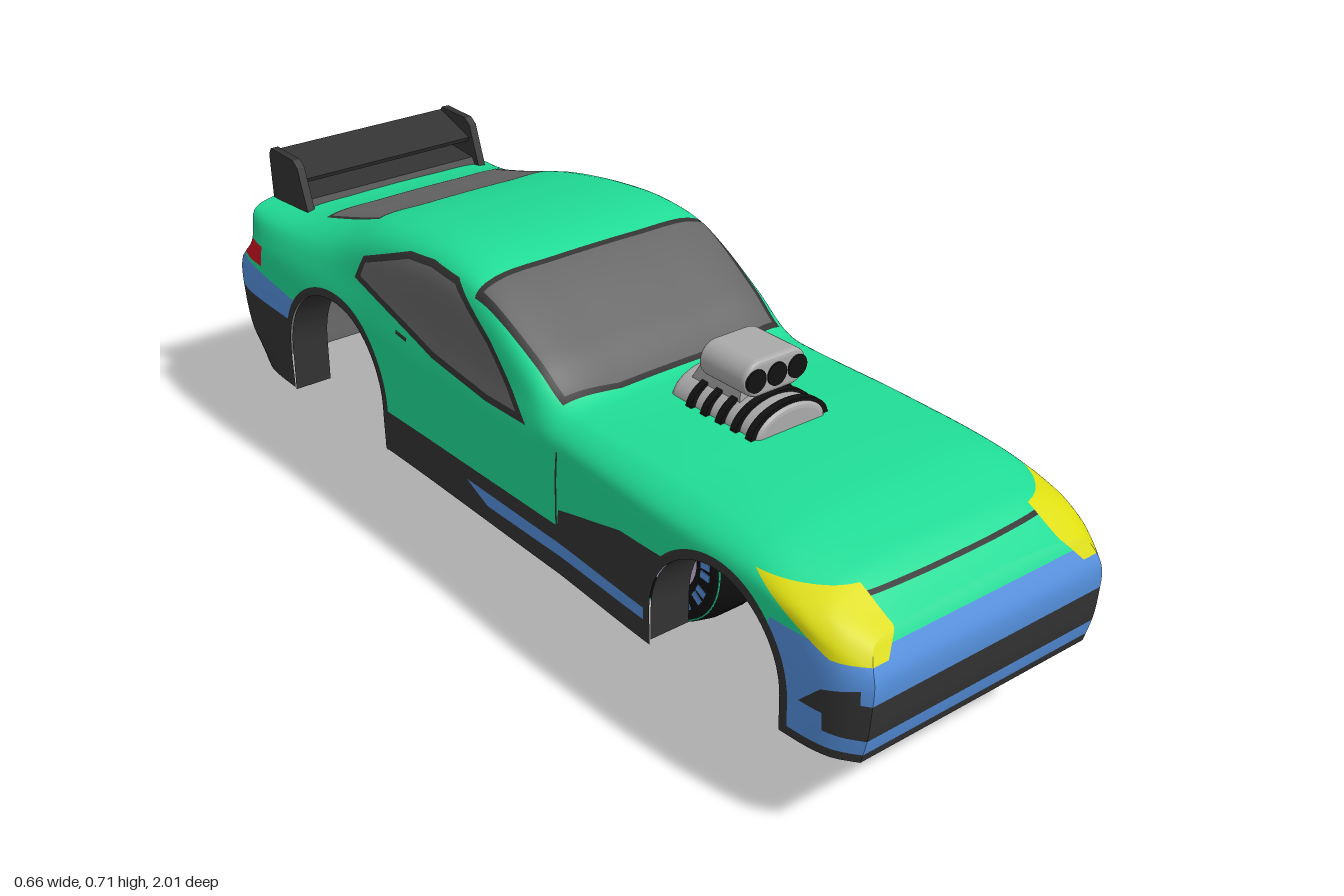
import * as THREE from 'three';

const mat = (color) => new THREE.MeshStandardMaterial({ color, side: THREE.DoubleSide });
const M = {
  green: mat(0x20dc96), blue: mat(0x5590dd), yellow: mat(0xdddd11), red: mat(0xcc1122),
  dark: mat(0x333333), black: mat(0x111111), glass: mat(0x666666), grey: mat(0xaaaaaa), rim: mat(0xccbbdd),
};

// Body stations: z, roof y, half width, belt y, waist x, waist y, roof edge x, roof edge drop, crown x
const STATIONS = [
  [-.95, .585, .305, .46, .303, .51, .29, .025, .24], [-.9, .587, .318, .47, .312, .51, .293, .028, .24],
  [-.77, .60, .325, .47, .315, .52, .29, .035, .23], [-.61, .64, .325, .46, .312, .53, .285, .05, .22],
  [-.45, .68, .318, .45, .305, .54, .285, .045, .235], [-.26, .705, .316, .44, .303, .53, .285, .04, .24],
  [-.14, .703, .316, .44, .303, .53, .285, .036, .24], [-.05, .678, .316, .44, .303, .52, .285, .03, .24],
  [.1, .59, .316, .44, .305, .505, .288, .03, .25], [.17, .542, .316, .43, .308, .48, .28, .025, .23],
  [.22, .523, .316, .43, .308, .475, .275, .018, .22], [.5, .52, .327, .43, .318, .47, .28, .02, .22],
  [.73, .51, .326, .42, .318, .46, .29, .025, .23], [.86, .48, .322, .4, .317, .435, .29, .025, .22],
  [.91, .457, .31, .38, .305, .41, .285, .02, .22], [.95, .43, .28, .36, .275, .385, .258, .018, .2],
];
const SILL = [[-.95, .2], [-.39, .2], [.49, .185], [.83, .195], [.95, .195]];
const NOSE = [[.19, .03], [.25, .045], [.3, .05], [.36, .05], [.41, .025], [.45, 0], [.6, 0]];
const TAIL = [[.19, .04], [.22, .02], [.27, -.025], [.36, -.05], [.43, -.05], [.5, .008], [.6, -.01]];
const ARCHES = [{ name: 'front', z: .665, y: .262, r: .168 }, { name: 'rear', z: -.577, y: .297, r: .183 }];

// Smooth interpolation of column c of a keyed table
function sample(table, t, c = 1) {
  let i = 0;
  while (i < table.length - 2 && t > table[i + 1][0]) i++;
  const slope = (k) => {
    const a = table[Math.max(k - 1, 0)], b = table[Math.min(k + 1, table.length - 1)];
    return (b[c] - a[c]) / (b[0] - a[0]);
  };
  const p = table[i], q = table[i + 1], h = q[0] - p[0];
  const s = THREE.MathUtils.clamp((t - p[0]) / h, 0, 1), s2 = s * s, s3 = s2 * s;
  return (2 * s3 - 3 * s2 + 1) * p[c] + (s3 - 2 * s2 + s) * h * slope(i)
    + (3 * s2 - 2 * s3) * q[c] + (s3 - s2) * h * slope(i + 1);
}

// Half cross-section from the sill up to the centre line, with bulged nose and tail
function halfSection(z) {
  const [T, W, E, G, Gy, R, d, Q] = [1, 2, 3, 4, 5, 6, 7, 8].map((c) => sample(STATIONS, z, c));
  const pts = [[W, sample(SILL, z)], [W + .002, .3], [W, E], [G, Gy], [R, T - d], [Q, T - .007], [.1, T - .001], [0, T]];
  const nose = THREE.MathUtils.smoothstep(z, .8, .95), tail = THREE.MathUtils.smoothstep(-z, .78, .95);
  return new THREE.CatmullRomCurve3(pts.map(([x, y]) => new THREE.Vector3(x, y, 0))).getPoints(42).map((p) =>
    [p.x, p.y, z + nose * sample(NOSE, p.y) + tail * sample(TAIL, p.y)]);
}

// Grid of points -> quads whose corners carry smooth normals
function gridPolys(rows) {
  const n = rows[0].length, idx = [], quads = [];
  for (let i = 0; i < rows.length - 1; i++) for (let j = 0; j < n - 1; j++) {
    const a = i * n + j, b = a + n;
    idx.push(a, a + 1, b + 1, a, b + 1, b);
    quads.push([a, a + 1, b + 1], [a, b + 1, b]);
  }
  const g = new THREE.BufferGeometry();
  g.setAttribute('position', new THREE.Float32BufferAttribute(rows.flat(2), 3));
  g.setIndex(idx);
  g.computeVertexNormals();
  const N = g.attributes.normal, flat = rows.flat();
  return quads.map((q) => q.map((k) => [...flat[k], N.getX(k), N.getY(k), N.getZ(k)]));
}

// Part of a convex polygon where sign * f <= 0
function clip(poly, f, sign) {
  const out = [];
  poly.forEach((p, i) => {
    const q = poly[(i + 1) % poly.length], a = sign * f(...p), b = sign * f(...q);
    if (a <= 0) out.push(p);
    if ((a < 0 && b > 0) || (a > 0 && b < 0)) out.push(p.map((v, k) => v + (q[k] - v) * a / (a - b)));
  });
  return out.length > 2 ? out : null;
}

// Cut the region where all tests are <= 0 out of the polygons
function carve(polys, tests) {
  let inside = polys;
  const rest = [];
  for (const f of tests) {
    const next = [];
    for (const p of inside) {
      const values = p.map((v) => f(...v));
      if (values.every((v) => v <= 0)) { next.push(p); continue; }
      if (values.every((v) => v >= 0)) { rest.push(p); continue; }
      const a = clip(p, f, 1), b = clip(p, f, -1);
      if (a) next.push(a);
      if (b) rest.push(b);
    }
    inside = next;
  }
  return [inside, rest];
}

// Tests for a convex outline in side (z,y), front (|x|,y) or plan (|x|,z) projection
const PROJ = { side: (x, y, z) => [z, y], front: (x, y) => [Math.abs(x), y], plan: (x, y, z) => [Math.abs(x), z] };
function outline(proj, pts, inset = 0) {
  const area = pts.reduce((s, p, i) => { const q = pts[(i + 1) % pts.length]; return s + p[0] * q[1] - q[0] * p[1]; }, 0);
  return pts.map((p, i) => {
    const q = pts[(i + 1) % pts.length], du = q[0] - p[0], dv = q[1] - p[1], k = Math.sign(area) / Math.hypot(du, dv);
    return (x, y, z) => { const [u, v] = PROJ[proj](x, y, z); return k * ((u - p[0]) * dv - (v - p[1]) * du) + inset; };
  });
}
const above = (h) => (x, y) => h - y, below = (h) => (x, y) => y - h;
const ahead = (d) => (x, y, z) => d - z, behind = (d) => (x, y, z) => z - d;
const outer = (w) => (x) => w - Math.abs(x), inner = (w) => (x) => Math.abs(x) - w;
const archTests = (a, grow) => [
  [(x, y, z) => Math.hypot(z - a.z, y - a.y) - a.r - grow],
  [(x, y, z) => Math.abs(z - a.z) - a.r - grow, below(a.y)],
];

function polyMesh(name, polys, material) {
  const pos = [], nor = [];
  for (const p of polys) for (let i = 1; i < p.length - 1; i++) for (const v of [p[0], p[i], p[i + 1]]) {
    pos.push(v[0], v[1], v[2]); nor.push(v[3], v[4], v[5]);
  }
  const g = new THREE.BufferGeometry();
  g.setAttribute('position', new THREE.Float32BufferAttribute(pos, 3));
  g.setAttribute('normal', new THREE.Float32BufferAttribute(nor, 3));
  const m = new THREE.Mesh(g, material);
  m.name = name;
  return m;
}

function buildBody() {
  const body = new THREE.Group();
  body.name = 'bodyShell';
  const zs = Array.from({ length: 161 }, (_, i) => -.95 + 1.9 * i / 160);
  const halves = zs.map(halfSection);
  const cap = (half, dir) => half.map((p) => Array.from({ length: 17 }, (_, k) => [dir * (k / 8 - 1) * p[0], p[1], p[2]]));
  let polys = [
    ...gridPolys(halves.map((h) => [...h, ...h.slice(0, -1).reverse().map(([x, y, z]) => [-x, y, z])])),
    ...gridPolys(cap(halves[160], 1)), ...gridPolys(cap(halves[0], -1)),
  ];
  // Wheel openings
  for (const a of ARCHES) for (const t of archTests(a, 0)) polys = carve(polys, t)[1];

  const sideWin = [[.11, .465], [-.02, .588], [-.14, .672], [-.23, .678], [-.315, .668], [-.475, .608], [-.5, .555], [-.405, .53], [-.21, .482], [-.02, .463]];
  const screen = [[-.3, -.08], [.288, -.08], [.272, .175], [.15, .197], [-.15, .197]];
  const rearWin = [[-.3, -.72], [.235, -.72], [.225, -.52], [-.3, -.52]];
  const regions = [
    ['sideWindows', 'glass', [...outline('side', sideWin, .014), outer(.25)]],
    ['sideWindowFrames', 'dark', [...outline('side', sideWin), outer(.25)]],
    ['windshield', 'glass', [...outline('plan', screen, .012), above(.5)]],
    ['windshieldFrame', 'dark', [...outline('plan', screen), above(.5)]],
    ['rearWindow', 'glass', [...outline('plan', rearWin, .008), above(.5)]],
    ['rearWindowFrame', 'dark', [...outline('plan', rearWin), above(.5)]],
    ...ARCHES.flatMap((a) => archTests(a, .018).map((t) => [a.name + 'ArchTrim', 'dark', t])),
    ['headlights', 'yellow', [...outline('front', [[.205, .465], [.205, .425], [.24, .385], [.36, .385], [.36, .47]]),
      (x, y, z) => .765 + (.295 - Math.abs(x)) * 1.3 - z, (x, y, z) => .385 + (.93 - z) * .457 - y]],
    ['hoodGap', 'dark', [above(.452), below(.457), inner(.205), ahead(.85)]],
    ['frontLip', 'dark', [below(.213), ahead(.8)]],
    ['frontLowerStripe', 'blue', [below(.245), ahead(.8)]],
    ['grille', 'dark', [below(.318), ahead(.925)]],
    ['sideVents', 'dark', outline('side', [[.985, .37], [.965, .37], [.92, .325], [.84, .3], [.84, .28], [.985, .28]])],
    ['frontBumper', 'blue', [below(.405), ahead(.8)]],
    ['tailLights', 'red', [above(.455), below(.5), outer(.235), behind(-.88)]],
    ['rearBumper', 'dark', [below(.37), behind(-.7)]],
    ['rearBand', 'blue', [(x, y, z) => y - .43 + (z + .78) * .1, behind(-.7)]],
    ['sillStripe', 'blue', outline('side', [[.5, .255], [-.09, .262], [-.02, .23], [.5, .23]])],
    ['sill', 'dark', [below(.295), ahead(-.45), behind(.55)]],
    ['frontFenderPanel', 'dark', outline('side', [[.21, .28], [.22, .375], [.41, .383], [.55, .42], [.55, .28]])],
    ['doorSeams', 'dark', outline('side', [[.211, .29], [.206, .29], [.206, .45], [.211, .45]])],
    ['doorHandles', 'dark', [...outline('side', [[-.3, .49], [-.34, .495], [-.34, .487], [-.3, .482]]), outer(.25)]],
  ];
  for (const [name, color, tests] of regions) {
    const [cut, rest] = carve(polys, tests);
    polys = rest;
    if (cut.length) body.add(polyMesh(name, cut, M[color]));
  }
  body.add(polyMesh('paintedPanels', polys, M.green));

  // Inner liners of the wheel openings
  for (const a of ARCHES) for (const s of [1, -1]) {
    const path = [[a.z + a.r, .195]];
    for (let i = 0; i <= 24; i++) path.push([a.z + a.r * Math.cos(Math.PI * i / 24), a.y + a.r * Math.sin(Math.PI * i / 24)]);
    path.push([a.z - a.r, .195]);
    const rows = path.map(([z, y]) => [.235, sample(STATIONS, z, 2) - .002].map((x) => [s * x, y, z]));
    body.add(polyMesh(a.name + 'ArchLiner', gridPolys(s > 0 ? rows : rows.map((r) => r.reverse())), M.dark));
  }
  return body;
}

function add(parent, name, geometry, material, x = 0, y = 0, z = 0) {
  const m = new THREE.Mesh(geometry, material);
  m.name = name;
  m.position.set(x, y, z);
  parent.add(m);
  return m;
}
const extrude = (shape, depth, bevel = 0) => new THREE.ExtrudeGeometry(shape, {
  depth, curveSegments: 24, bevelEnabled: bevel > 0, bevelSize: bevel, bevelThickness: bevel, bevelOffset: -bevel, bevelSegments: 3 });

function buildEngine() {
  const engine = new THREE.Group();
  engine.name = 'engine';
  const dome = (w, h) => new THREE.Shape().absellipse(0, 0, w, h, 0, Math.PI, false, 0);
  add(engine, 'blowerCase', extrude(dome(.085, .052), .22, .012), M.grey, 0, .515, .27);
  for (let i = 0; i < 5; i++) add(engine, 'blowerRib', extrude(dome(.095, .057), .016), M.black, 0, .515, .315 + i * .041);
  // Intake scoop with three openings
  const capsule = new THREE.Shape();
  capsule.absarc(.039, 0, .037, -Math.PI / 2, Math.PI / 2).absarc(-.039, 0, .037, Math.PI / 2, Math.PI * 1.5);
  add(engine, 'scoop', extrude(capsule, .11, .01), M.grey, 0, .611, .335);
  const neck = new THREE.Shape([[.27, .53], [.42, .53], [.42, .6], [.315, .6]].map(([z, y]) => new THREE.Vector2(-z, y)));
  add(engine, 'scoopNeck', extrude(neck, .11), M.grey, -.055, 0, 0).rotation.y = Math.PI / 2;
  for (const x of [-.05, 0, .05]) add(engine, 'scoopOpening', new THREE.CylinderGeometry(.023, .023, .012, 28), M.black, x, .611, .452).rotation.x = Math.PI / 2;
  return engine;
}

function buildSpoiler() {
  const spoiler = new THREE.Group();
  spoiler.name = 'spoiler';
  // Profiles are drawn in (-z, y) and extruded along x
  const slab = (name, pts, x, width) => {
    add(spoiler, name, extrude(new THREE.Shape(pts.map((p) => new THREE.Vector2(...p))), width), M.dark, x, 0, 0).rotation.y = Math.PI / 2;
  };
  for (const s of [1, -1]) slab('endPlate', [[.795, .575], [.95, .57], [.955, .68], [.945, .695], [.85, .693], [.832, .68]], s * .228 - .009, .018);
  slab('wing', [[.835, .65], [.95, .688], [.95, .625], [.942, .625], [.938, .668], [.84, .64]], -.225, .45);
  slab('wingBase', [[.81, .58], [.825, .605], [.945, .615], [.945, .575]], -.225, .45);
  return spoiler;
}

function buildWheel() {
  const wheel = new THREE.Group();
  wheel.name = 'wheel';
  const profile = [[.09, -.068], [.1, -.075], [.15, -.075], [.164, -.066], [.171, -.03], [.171, .03], [.164, .066], [.15, .075], [.1, .075], [.09, .068]];
  add(wheel, 'tire', new THREE.LatheGeometry(profile.map((p) => new THREE.Vector2(...p)), 48), M.black);
  for (const s of [1, -1]) {
    add(wheel, 'rim', new THREE.CylinderGeometry(.095, .095, .01, 40), M.rim, 0, s * .066, 0);
    add(wheel, 'hubRing', new THREE.CylinderGeometry(.045, .045, .01, 32), M.dark, 0, s * .07, 0);
    add(wheel, 'hub', new THREE.CylinderGeometry(.03, .03, .014, 24), M.grey, 0, s * .071, 0);
    add(wheel, 'hubCap', new THREE.CylinderGeometry(.014, .014, .016, 16), M.dark, 0, s * .072, 0);
    add(wheel, 'tireRing', new THREE.TorusGeometry(.16, .002, 6, 48), M.green, 0, s * .0695, 0).rotation.x = Math.PI / 2;
    for (let i = 0; i < 24; i++) {
      const t = Math.PI * 2 * (Math.floor(i / 2) + (i % 2 ? .18 : -.18)) / 12;
      add(wheel, 'tireMark', new THREE.BoxGeometry(.026, .002, .016), M.blue, .125 * Math.cos(t), s * .0755, .125 * Math.sin(t)).rotation.y = -t;
    }
  }
  wheel.rotation.z = Math.PI / 2;
  wheel.position.set(0, .171, .235);
  return wheel;
}

export function createModel() {
  const model = new THREE.Group();
  model.name = 'dragCar';
  model.add(buildBody(), buildEngine(), buildSpoiler(), buildWheel());
  return model;
}
